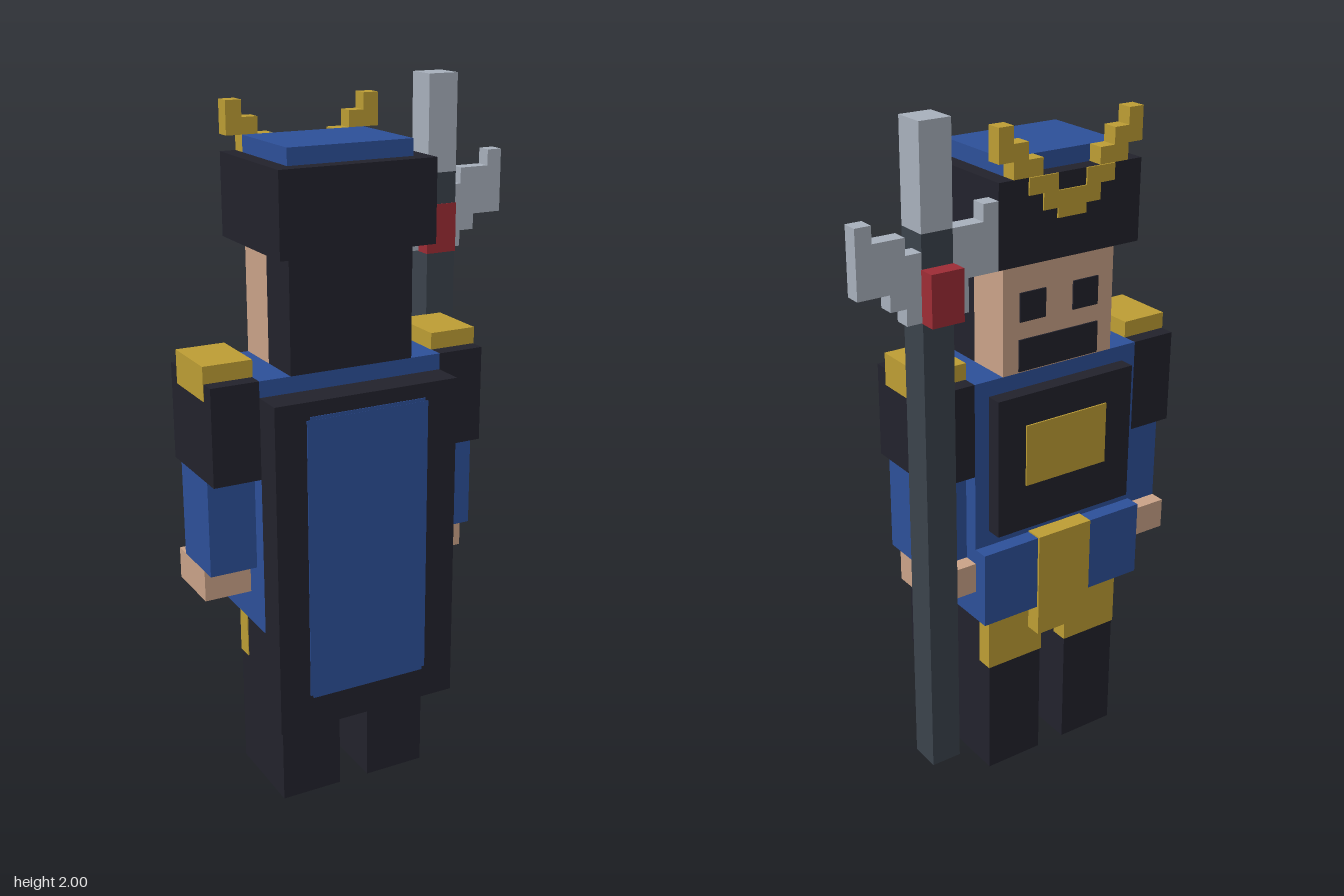
import * as THREE from 'three';

const U = 1 / 22;   // one block of the grid
const MID = -2.5;   // centre line of the figure, in blocks

function material(name, color) {
  const m = new THREE.MeshStandardMaterial({ color });
  m.name = name;
  return m;
}

export function createModel() {
  const dark = material('dark cloth', 0x23232d);
  const blue = material('blue cloth', 0x2e519b);
  const gold = material('gold', 0xc0a035);
  const skin = material('skin', 0xcda58a);
  const silver = material('silver', 0xabb3bf);
  const wood = material('dark shaft', 0x3c444d);
  const red = material('red', 0xa02d36);

  const model = new THREE.Group();
  model.name = 'guard';
  const group = (name) => {
    const g = new THREE.Group();
    g.name = name;
    model.add(g);
    return g;
  };

  // Box from its limits in blocks; swell pushes overlapping faces apart
  function box(parent, name, mat, x0, x1, y0, y1, z0, z1, swell = 0) {
    const s = swell * 2;
    const mesh = new THREE.Mesh(
      new THREE.BoxGeometry((x1 - x0 + s) * U, (y1 - y0 + s) * U, (z1 - z0 + s) * U), mat);
    mesh.position.set((x0 + x1) / 2 * U, (y0 + y1) / 2 * U, (z0 + z1) / 2 * U);
    mesh.name = name;
    parent.add(mesh);
    return mesh;
  }
  // The same box on both sides, a and b measured outwards from the centre line
  function pair(parent, name, mat, a, b, ...rest) {
    box(parent, name + 'Left', mat, MID + a, MID + b, ...rest);
    box(parent, name + 'Right', mat, MID - b, MID - a, ...rest);
  }
  // Box centred on the centre line
  const mid = (parent, name, mat, half, ...rest) =>
    box(parent, name, mat, MID - half, MID + half, ...rest);

  // Legs with gold thigh guards
  const legs = group('legs');
  pair(legs, 'leg', dark, 1, 5, 0, 12, -3, 3);
  pair(legs, 'thighGuard', gold, 1, 5, 8, 11.9, -3, -2, 0.06);

  // Torso, skirt, chest plate and tabard
  const body = group('body');
  mid(body, 'torso', blue, 6, 17, 28, -3, 3);
  mid(body, 'skirt', blue, 6, 12, 17, -4, 3);
  mid(body, 'chestPlate', dark, 5, 18, 27, -4, -3);
  mid(body, 'chestPanel', gold, 3, 21, 25, -4.1, -4);
  mid(body, 'tabard', gold, 2, 10, 17.1, -4.15, -3);

  // Cape with inset panel
  const cape = group('cape');
  mid(cape, 'capeCloth', dark, 6, 6, 27, 3, 5);
  mid(cape, 'capePanel', blue, 4, 8.2, 25.9, 5, 5.06);
  mid(cape, 'capePanelEnds', blue, 3.8, 8, 26.1, 5, 5.05);

  // Arms
  const arms = group('arms');
  pair(arms, 'sleeve', dark, 6, 9, 22, 28, -3, 3);
  pair(arms, 'shoulderPad', gold, 6, 9, 27, 29, -2, 2, 0.04);
  pair(arms, 'forearm', blue, 6, 9, 16, 22, -2, 2);
  pair(arms, 'hand', skin, 6, 9, 14, 16, -3, 1);

  // Head
  const head = group('head');
  mid(head, 'hair', dark, 4, 28, 35, 0, 3);
  mid(head, 'face', skin, 4, 28, 35, -3, 0);
  pair(head, 'eye', dark, 1, 2.85, 31.2, 33, -3.1, -3);
  mid(head, 'beard', dark, 2.9, 28.1, 30.1, -3.1, -3);

  // Hat with a stepped gold crest
  const hat = group('hat');
  mid(hat, 'hatBand', dark, 5, 35, 40, -4, 4);
  mid(hat, 'hatTop', blue, 4, 40, 41, -3, 3);
  pair(hat, 'crestTip', gold, 4, 5, 41, 43, -4, -3);
  pair(hat, 'crestStep', gold, 3, 4, 40, 42, -4, -3);
  pair(hat, 'crestFoot', gold, 2, 3, 40, 41, -4, -3);
  pair(hat, 'crestArm', gold, 1, 3, 39, 40, -4.1, -4);
  mid(hat, 'crestBar', gold, 2, 38, 39, -4.1, -4);
  mid(hat, 'crestPoint', gold, 1, 37.4, 38, -4.1, -4);

  // Halberd
  const halberd = group('halberd');
  box(halberd, 'shaft', wood, 5.5, 7.5, 3, 38, -4, -2);
  box(halberd, 'spike', silver, 5.5, 7.5, 38, 44, -4, -2);
  box(halberd, 'binding', red, 5.5, 7.5, 33, 36, -5, -2, 0.04);
  // Blade columns: left edge, bottom, top
  [[2.5, 35, 39], [3.5, 35, 38], [4.5, 33, 38],
    [7.5, 33, 37], [8.5, 34, 38], [9.5, 35, 38], [10.5, 35, 39]]
    .forEach(([x, y0, y1]) => box(halberd, 'blade', silver, x, x + 1, y0, y1, -4, -3));

  return model;
}
